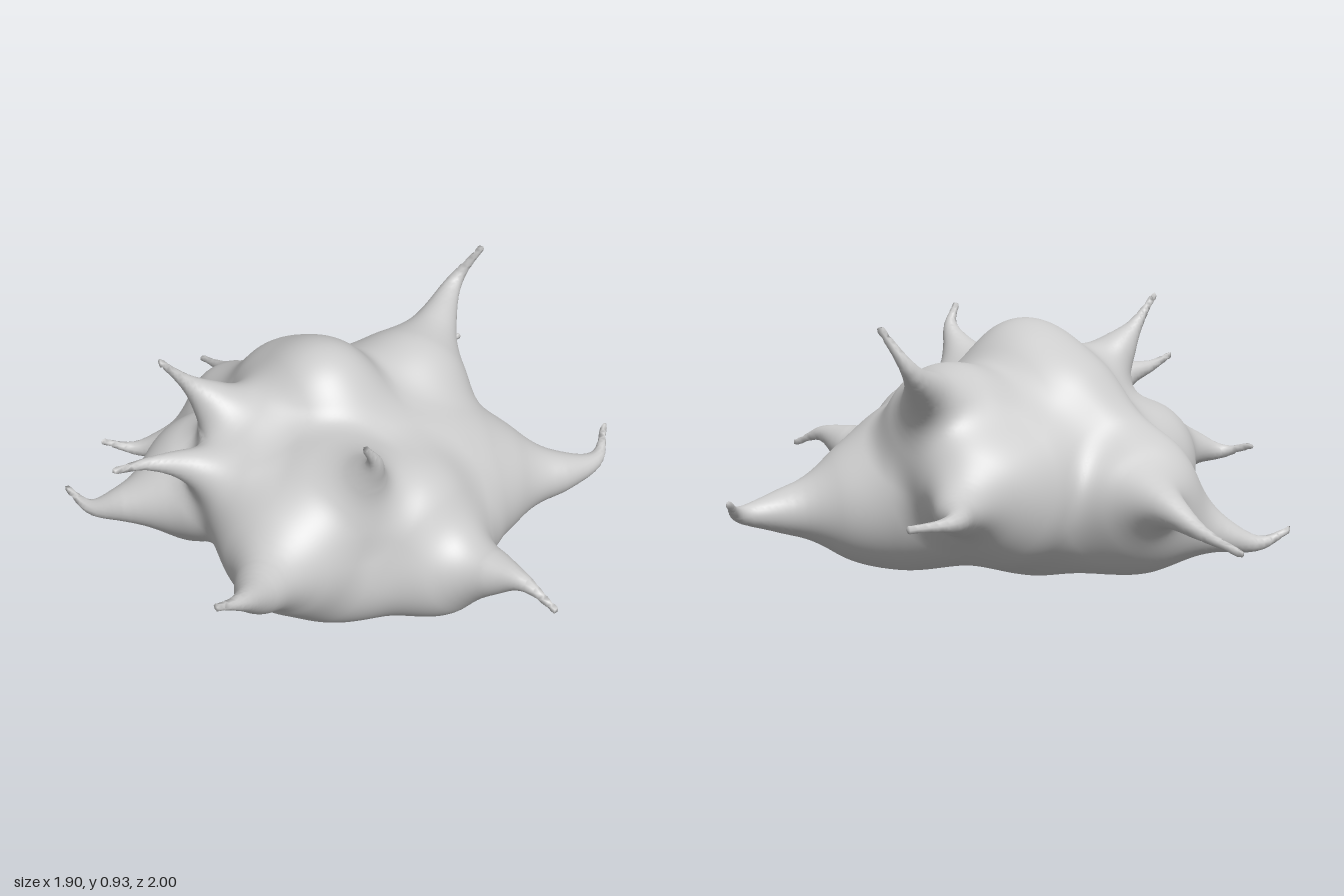
import * as THREE from 'three';

// Soft lobes that make up the body: [centre, radii]
const LOBES = [
  [[0, 0.37, 0.06], [0.49, 0.35, 0.5]],         // core
  [[-0.05, 0.63, -0.03], [0.25, 0.275, 0.25]],  // crown
  [[-0.01, 0.54, -0.2], [0.25, 0.26, 0.26]],    // ridge
  [[-0.01, 0.33, -0.41], [0.21, 0.27, 0.33]],   // tail
  [[-0.34, 0.34, -0.31], [0.26, 0.26, 0.24]],   // back right
  [[0.27, 0.34, -0.2], [0.28, 0.28, 0.24]],     // back left
  [[-0.35, 0.4, 0.15], [0.3, 0.28, 0.33]],      // right side
  [[-0.27, 0.52, 0.22], [0.2, 0.17, 0.22]],     // right shoulder
  [[0.28, 0.35, 0.1], [0.27, 0.28, 0.39]],      // left side
  [[0.36, 0.26, 0.24], [0.23, 0.24, 0.28]],     // left flank
  [[0.3, 0.52, 0.0], [0.2, 0.22, 0.22]],        // left shoulder
  [[-0.05, 0.27, 0.4], [0.26, 0.25, 0.25]],     // front
  [[0.17, 0.25, 0.34], [0.24, 0.22, 0.23]],     // front left
  [[-0.08, 0.46, 0.42], [0.18, 0.17, 0.16]],    // brow
  [[0, 0.225, -0.13], [0.27, 0.25, 0.27]],      // belly
  [[-0.26, 0.25, 0.22], [0.27, 0.225, 0.28]],   // belly right
  [[0.0, 0.22, -0.44], [0.22, 0.19, 0.24]],     // belly back
];

// Horn centre lines from root to tip, with root thickness
const HORNS = [
  [0.11, [0.1, 0.34, -0.52], [0.18, 0.33, -0.7], [0.23, 0.28, -0.85], [0.26, 0.24, -1.0]],
  [0.12, [-0.08, 0.24, -0.52], [-0.15, 0.185, -0.71], [-0.24, 0.145, -0.83], [-0.33, 0.185, -0.905]],
  [0.12, [-0.46, 0.39, -0.24], [-0.64, 0.36, -0.37], [-0.725, 0.34, -0.46], [-0.74, 0.37, -0.57]],
  [0.1, [-0.43, 0.53, 0.0], [-0.56, 0.61, -0.11], [-0.67, 0.64, -0.18], [-0.8, 0.67, -0.2]],
  [0.13, [-0.29, 0.6, -0.12], [-0.38, 0.73, -0.2], [-0.45, 0.82, -0.24], [-0.53, 0.92, -0.27]],
  [0.11, [-0.27, 0.56, 0.3], [-0.29, 0.7, 0.41], [-0.31, 0.79, 0.465], [-0.36, 0.87, 0.47]],
  [0.15, [-0.5, 0.4, 0.25], [-0.7, 0.45, 0.35], [-0.84, 0.53, 0.42], [-0.95, 0.585, 0.435]],
  [0.14, [-0.05, 0.27, 0.54], [-0.04, 0.35, 0.74], [-0.04, 0.38, 0.87], [-0.03, 0.335, 0.99]],
  [0.14, [0.45, 0.27, 0.34], [0.63, 0.26, 0.49], [0.78, 0.27, 0.545], [0.89, 0.33, 0.49]],
  [0.15, [0.37, 0.58, 0.02], [0.54, 0.68, -0.04], [0.7, 0.78, -0.09], [0.77, 0.915, -0.03]],
  [0.14, [0.46, 0.39, -0.15], [0.64, 0.345, -0.22], [0.8, 0.355, -0.31], [0.95, 0.36, -0.26]],
].map(([thick, ...pts]) => {
  const n = 16;
  const curve = new THREE.CatmullRomCurve3(pts.map(p => new THREE.Vector3(...p)));
  const balls = curve.getPoints(n).map((p, i) => ({ p, r: 0.012 + thick * (1 - i / n) ** 2 }));
  const box = new THREE.Box3().setFromPoints(balls.map(b => b.p)).expandByScalar(thick + 0.14);
  return { balls, box };
});

// Smooth union of two distances
function blend(a, b, k) {
  const h = Math.max(k - Math.abs(a - b), 0) / k;
  return Math.min(a, b) - h * h * k * 0.25;
}

function lobeDistance([c, r], x, y, z) {
  const a = (x - c[0]) / r[0], b = (y - c[1]) / r[1], e = (z - c[2]) / r[2];
  const k0 = Math.sqrt(a * a + b * b + e * e);
  const k1 = Math.sqrt((a / r[0]) ** 2 + (b / r[1]) ** 2 + (e / r[2]) ** 2);
  return k1 < 1e-6 ? -Math.min(...r) : k0 * (k0 - 1) / k1;
}

// Chain of round cones, each hugging two neighbouring balls
function hornDistance({ balls }, x, y, z) {
  let best = 9;
  for (let i = 0; i < balls.length - 1; i++) {
    const { p: a, r: ra } = balls[i], { p: b, r: rb } = balls[i + 1];
    const ux = b.x - a.x, uy = b.y - a.y, uz = b.z - a.z;
    const px = x - a.x, py = y - a.y, pz = z - a.z;
    const len2 = ux * ux + uy * uy + uz * uz, len = Math.sqrt(len2);
    let h = (px * ux + py * uy + pz * uz) / len2;
    const away = Math.sqrt(Math.max(0, px * px + py * py + pz * pz - h * h * len2));
    const slope = Math.min(0.95, (ra - rb) / len);
    h -= away * slope / Math.sqrt(1 - slope * slope) / len;
    h = Math.min(1, Math.max(0, h));
    const dx = px - h * ux, dy = py - h * uy, dz = pz - h * uz;
    best = Math.min(best, Math.sqrt(dx * dx + dy * dy + dz * dz) - ra - (rb - ra) * h);
  }
  return best;
}

function field(x, y, z) {
  let d = 9;
  for (const lobe of LOBES) d = blend(d, lobeDistance(lobe, x, y, z), 0.14);
  d += 0.033;
  for (const horn of HORNS) {
    const { min, max } = horn.box;
    if (x < min.x || x > max.x || y < min.y || y > max.y || z < min.z || z > max.z) continue;
    d = blend(d, hornDistance(horn, x, y, z), 0.12);
  }
  return d;
}

function gradient(x, y, z) {
  const e = 0.006;
  return new THREE.Vector3(
    field(x + e, y, z) - field(x - e, y, z),
    field(x, y + e, z) - field(x, y - e, z),
    field(x, y, z + e) - field(x, y, z - e)).divideScalar(2 * e);
}

// Quad skin over the zero level of the field: one vertex per crossed cell
function skin(step) {
  const lo = [-1.04, -0.08, -1.06];
  const size = [131, 71, 133];
  const stride = [1, size[0], size[0] * size[1]];
  const values = new Float32Array(size[0] * size[1] * size[2]);
  const cellVertex = new Int32Array(values.length).fill(-1);
  const positions = [], normals = [], index = [];
  const each = (from, to, fn) => {
    for (let k = from; k < size[2] - to; k++)
      for (let j = from; j < size[1] - to; j++)
        for (let i = from; i < size[0] - to; i++) fn(i, j, k, i + j * stride[1] + k * stride[2]);
  };
  each(0, 0, (i, j, k, id) => {
    values[id] = field(lo[0] + i * step, lo[1] + j * step, lo[2] + k * step);
  });

  // Vertices: mean of the edge crossings, then pulled onto the surface
  each(0, 1, (i, j, k, id) => {
    const sum = [0, 0, 0];
    let count = 0;
    for (let c = 0; c < 8; c++) {
      const corner = [c & 1, (c >> 1) & 1, c >> 2];
      const at = id + corner[0] + corner[1] * stride[1] + corner[2] * stride[2];
      const v0 = values[at];
      for (let axis = 0; axis < 3; axis++) {
        if (corner[axis]) continue;
        const v1 = values[at + stride[axis]];
        if ((v0 < 0) === (v1 < 0)) continue;
        for (let a = 0; a < 3; a++) sum[a] += corner[a] + (a === axis ? v0 / (v0 - v1) : 0);
        count++;
      }
    }
    if (!count) return;
    const p = new THREE.Vector3(i + sum[0] / count, j + sum[1] / count, k + sum[2] / count)
      .multiplyScalar(step).add(new THREE.Vector3(...lo));
    const g = gradient(p.x, p.y, p.z);
    const pull = field(p.x, p.y, p.z) / Math.max(g.lengthSq(), 0.3);
    p.addScaledVector(g, -THREE.MathUtils.clamp(pull, -step / 2, step / 2));
    g.normalize();
    cellVertex[id] = positions.length / 3;
    positions.push(p.x, p.y, p.z);
    normals.push(g.x, g.y, g.z);
  });

  // Faces: one quad round every crossed grid edge
  each(1, 1, (i, j, k, id) => {
    for (let axis = 0; axis < 3; axis++) {
      const inside = values[id] < 0;
      if (inside === (values[id + stride[axis]] < 0)) continue;
      const u = stride[(axis + 1) % 3], v = stride[(axis + 2) % 3];
      const [a, b, c, d] = [id - u - v, id - v, id, id - u].map(n => cellVertex[n]);
      if (inside) index.push(a, b, c, a, c, d);
      else index.push(a, c, b, a, d, c);
    }
  });

  const geometry = new THREE.BufferGeometry();
  geometry.setAttribute('position', new THREE.Float32BufferAttribute(positions, 3));
  geometry.setAttribute('normal', new THREE.Float32BufferAttribute(normals, 3));
  geometry.setIndex(index);
  return geometry;
}

export function createModel() {
  const group = new THREE.Group();
  group.name = 'hornedBlob';
  const geometry = skin(0.016);
  geometry.computeBoundingBox();
  geometry.translate(0, -geometry.boundingBox.min.y, 0);
  const body = new THREE.Mesh(geometry, new THREE.MeshStandardMaterial({ color: 0xcccccc }));
  body.name = 'bodyWithHorns';
  group.add(body);
  return group;
}
